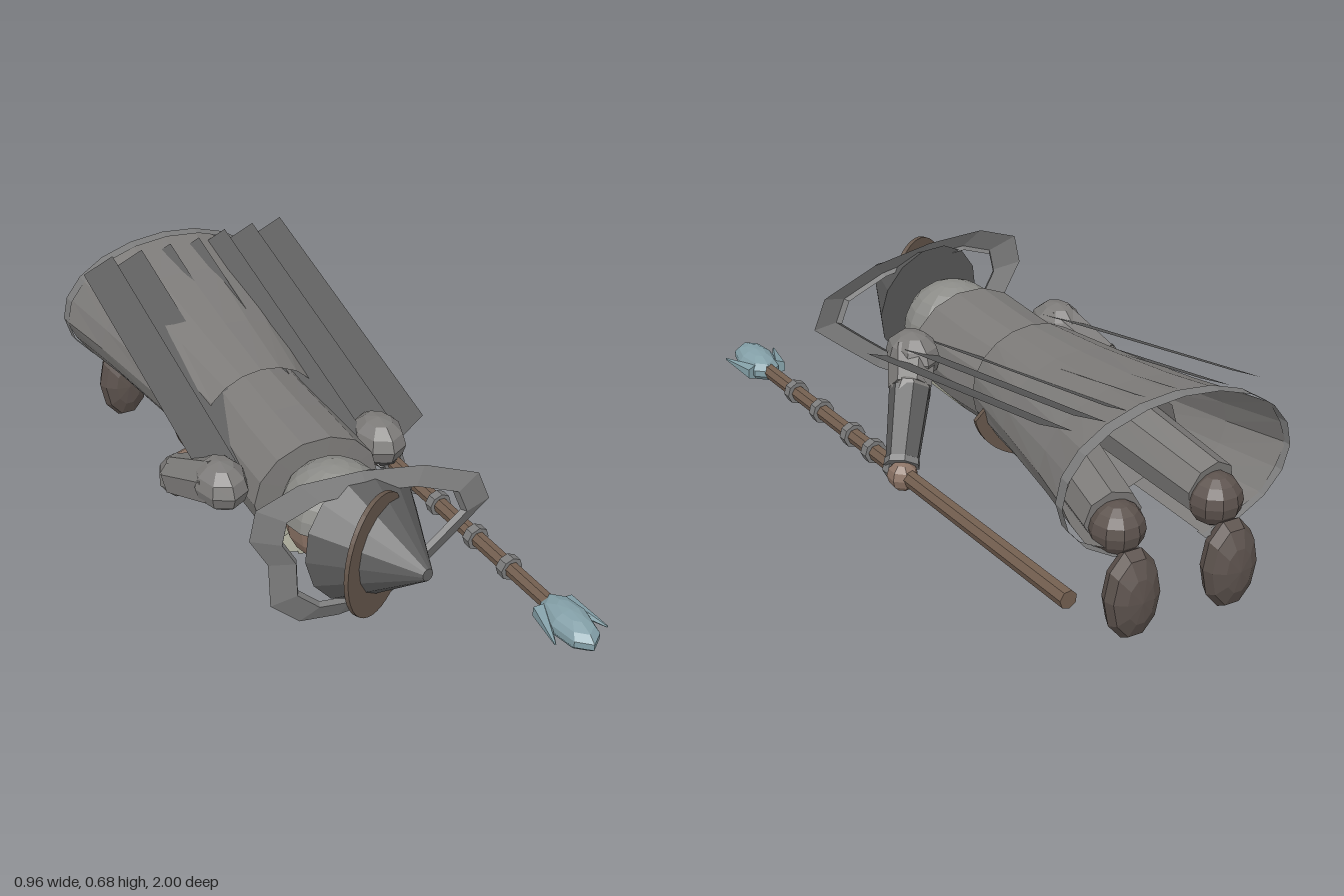
import * as THREE from 'three';

const mat = (color) => new THREE.MeshStandardMaterial({ color, flatShading: true, side: THREE.DoubleSide });
const M = {
  robe: mat(0x7d7b79), dark: mat(0x5c5c5c), trim: mat(0x7d7d7d), skin: mat(0x8c7466), boot: mat(0x5c524d),
  wood: mat(0x735f50), leather: mat(0x66574c), crystal: mat(0x84a0a8), hair: mat(0x8c8c88), beard: mat(0xa8a898),
};
const V = (x, y, z) => new THREE.Vector3(x, y, z);

export function createModel() {
  const root = new THREE.Group();
  const add = (name, geo, material, pos) => {
    const m = new THREE.Mesh(geo, material);
    m.name = name;
    if (pos) m.position.copy(pos);
    root.add(m);
    return m;
  };
  // Tapered limb or rod between two points
  const rod = (name, a, b, ra, rb, material, sides = 8) => {
    const d = b.clone().sub(a);
    const m = add(name, new THREE.CylinderGeometry(rb, ra, d.length(), sides), material, a.clone().add(b).multiplyScalar(0.5));
    m.quaternion.setFromUnitVectors(V(0, 1, 0), d.normalize());
  };
  const ball = (name, p, rx, ry, rz, material, w = 10, h = 8) => {
    const m = add(name, new THREE.SphereGeometry(1, w, h), material, p);
    m.scale.set(rx, ry, rz);
    return m;
  };
  // Surface from rows of points
  const surface = (rows) => {
    const n = rows[0].length, index = [];
    for (let i = 0; i < rows.length - 1; i++)
      for (let j = 0; j < n - 1; j++) {
        const a = i * n + j;
        index.push(a, a + 1, a + n, a + 1, a + n + 1, a + n);
      }
    const g = new THREE.BufferGeometry().setFromPoints(rows.flat());
    g.setIndex(index);
    g.computeVertexNormals();
    return g;
  };
  // Elliptical sections along z: [z, cx, cy, rx, ry]; pleat ripples the radius
  const loft = (sections, start, sweep, n, pleat = 0) => surface(sections.map(([z, cx, cy, rx, ry], i) =>
    Array.from({ length: n + 1 }, (_, j) => {
      const a = start + sweep * j / n, k = 1 + pleat * i * (j % 2 ? -1 : 0);
      return V(cx + Math.cos(a) * rx * k, cy + Math.sin(a) * ry * k, z);
    })));

  // Torso and inner tunic
  add('torso', loft([
    [0.26, -0.1, 0.36, 0.001, 0.001], [0.25, -0.1, 0.37, 0.2, 0.17], [0.05, -0.1, 0.37, 0.2, 0.17],
    [-0.14, -0.1, 0.38, 0.19, 0.165], [-0.4, -0.1, 0.39, 0.2, 0.16], [-0.6, -0.1, 0.39, 0.21, 0.165],
  ], 0, Math.PI * 2, 14), M.robe);

  // Flared robe, open along the belly side
  add('robe', loft([
    [-0.13, -0.1, 0.39, 0.2, 0.178], [-0.4, -0.1, 0.41, 0.25, 0.185],
    [-0.7, -0.1, 0.43, 0.31, 0.208], [-0.9, -0.1, 0.445, 0.36, 0.23],
  ], -1.3, Math.PI + 2.6, 18, 0.01), M.robe);
  add('robeHem', loft([
    [-0.88, -0.095, 0.445, 0.362, 0.232], [-0.92, -0.095, 0.445, 0.365, 0.232],
  ], -1.3, Math.PI + 2.6, 18), M.trim);

  // Cape of overlapping tilted strips
  for (let i = 0; i < 7; i++) {
    const x = -0.405 + i * 0.102, end = i > 3 ? -0.86 : -0.84;
    add('capeStrip', surface([
      [V(x, 0.405, 0.18), V(x + 0.102, 0.45, 0.15)],
      [V(x, 0.625, end), V(x + 0.102, 0.67, end)],
    ]), M.dark);
  }

  // Trouser legs and boots
  for (const s of [-1, 1]) {
    const x = -0.1 + s * 0.16;
    rod('leg', V(-0.1 + s * 0.1, 0.38, -0.4), V(x, 0.32, -0.84), 0.1, 0.085, M.robe);
    ball('ankle', V(x, 0.3, -0.86), 0.08, 0.078, 0.08, M.boot);
    const foot = ball('foot', V(x, 0.135, -0.94), 0.086, 0.142, 0.06, M.boot, 10, 6);
    foot.geometry.rotateX(Math.PI / 2);
  }

  // Head: skin below, hair above
  ball('face', V(-0.1, 0.36, 0.36), 0.147, 0.155, 0.145, M.skin, 14, 10);
  const hair = add('hair', new THREE.SphereGeometry(0.158, 14, 6, 0, Math.PI * 2, 0, Math.PI / 2), M.hair, V(-0.1, 0.37, 0.365));
  hair.scale.y = 0.97;
  ball('nose', V(-0.1, 0.21, 0.38), 0.025, 0.03, 0.035, M.skin, 6, 5);

  // Beard strands hanging along the chest
  for (let i = -3; i <= 3; i++)
    rod('beardStrand', V(-0.1 + i * 0.04, 0.225 + Math.abs(i) * 0.014, 0.36 - Math.abs(i) * 0.01),
      V(-0.1 + i * 0.027, 0.2, -0.02 + Math.abs(i) * 0.05), 0.035, 0.008, M.beard, 5);

  // Hat cone, leaning slightly
  rod('hatCone', V(-0.1, 0.39, 0.535), V(-0.045, 0.42, 0.81), 0.2, 0.018, M.dark, 14);

  // Loose irregular brim ring around the hat
  const brim = [[0.32, 0.38], [0.28, 0.48], [0.1, 0.56], [-0.1, 0.6], [-0.29, 0.61], [-0.42, 0.565], [-0.44, 0.47],
    [-0.385, 0.37], [-0.38, 0.225], [-0.29, 0.14], [-0.165, 0.12], [-0.02, 0.13], [0.1, 0.2], [0.2, 0.28], [0.32, 0.38]];
  const cx = -0.07, cy = 0.37;
  add('hatBrim', surface([[1, 0], [0.77, 0.028], [0.74, 0.01]].map(([k, dz]) =>
    brim.map(([x, y]) => V(cx + (x - cx) * k, cy + (y - cy) * k, 0.525 + dz)))), M.trim);

  // Crescent plate, thickest at +x with tapered horns
  const crescent = (reach) => {
    const s = new THREE.Shape();
    s.absarc(0, 0, 0.195, -reach, reach, false);
    s.absarc(-0.07, 0, 0.135, reach * 0.96, -reach * 0.96, true);
    return new THREE.ExtrudeGeometry(s, { depth: 0.014, bevelEnabled: false, curveSegments: 14 });
  };
  const band = add('hatCrescent', crescent(2.2), M.leather, V(-0.1, 0.385, 0.635));
  band.rotation.y = Math.PI + Math.PI / 6;
  band.scale.x = 0.8;
  const belt = add('beltCrescent', crescent(1.4), M.leather, V(-0.1, 0.385, -0.235));
  belt.rotation.z = -Math.PI / 2;
  belt.scale.y = 1.28;

  // Arm made of shoulder, sleeve pieces, cuff and hand
  const arm = (side, shoulder, elbow, wrist, hand, handLength) => {
    ball(side + 'Shoulder', shoulder, 0.08, 0.075, 0.105, M.robe, 8, 6);
    rod(side + 'UpperSleeve', shoulder, elbow, 0.078, 0.068, M.robe, 7);
    ball(side + 'Elbow', elbow, 0.066, 0.066, 0.066, M.robe, 7, 5);
    rod(side + 'ForeSleeve', elbow, wrist, 0.066, 0.052, M.dark, 7);
    const dir = wrist.clone().sub(elbow).normalize().multiplyScalar(0.02);
    rod(side + 'Cuff', wrist, wrist.clone().add(dir), 0.056, 0.056, M.trim, 7);
    ball(side + 'Hand', hand, 0.048, 0.047, handLength, M.skin, 7, 6);
  };
  arm('left', V(0.155, 0.415, 0.15), V(0.21, 0.345, 0.06), V(0.305, 0.19, -0.07), V(0.32, 0.155, -0.1), 0.052);
  arm('right', V(-0.36, 0.405, 0.145), V(-0.415, 0.335, -0.04), V(-0.365, 0.27, -0.12), V(-0.32, 0.245, -0.19), 0.08);

  // Staff with rings and crystal head
  const low = V(0.25, 0.168, -0.93), high = V(0.388, 0.147, 0.8);
  rod('staff', low, high, 0.028, 0.024, M.wood, 7);
  const along = high.clone().sub(low).normalize();
  for (const z of [-0.05, 0.08, 0.21, 0.41, 0.58]) {
    const p = low.clone().lerp(high, (z - low.z) / (high.z - low.z));
    rod('staffRing', p.clone().addScaledVector(along, -0.015), p.clone().addScaledVector(along, 0.015), 0.038, 0.038, M.trim, 8);
  }
  ball('crystal', V(0.392, 0.145, 0.87), 0.062, 0.046, 0.13, M.crystal, 8, 7);
  for (const s of [-1, 1])
    rod('crystalProng', V(0.39 + s * 0.045, 0.145, 0.79), V(0.39 + s * 0.087, 0.145, 0.935), 0.026, 0.003, M.crystal, 5);

  return root;
}
